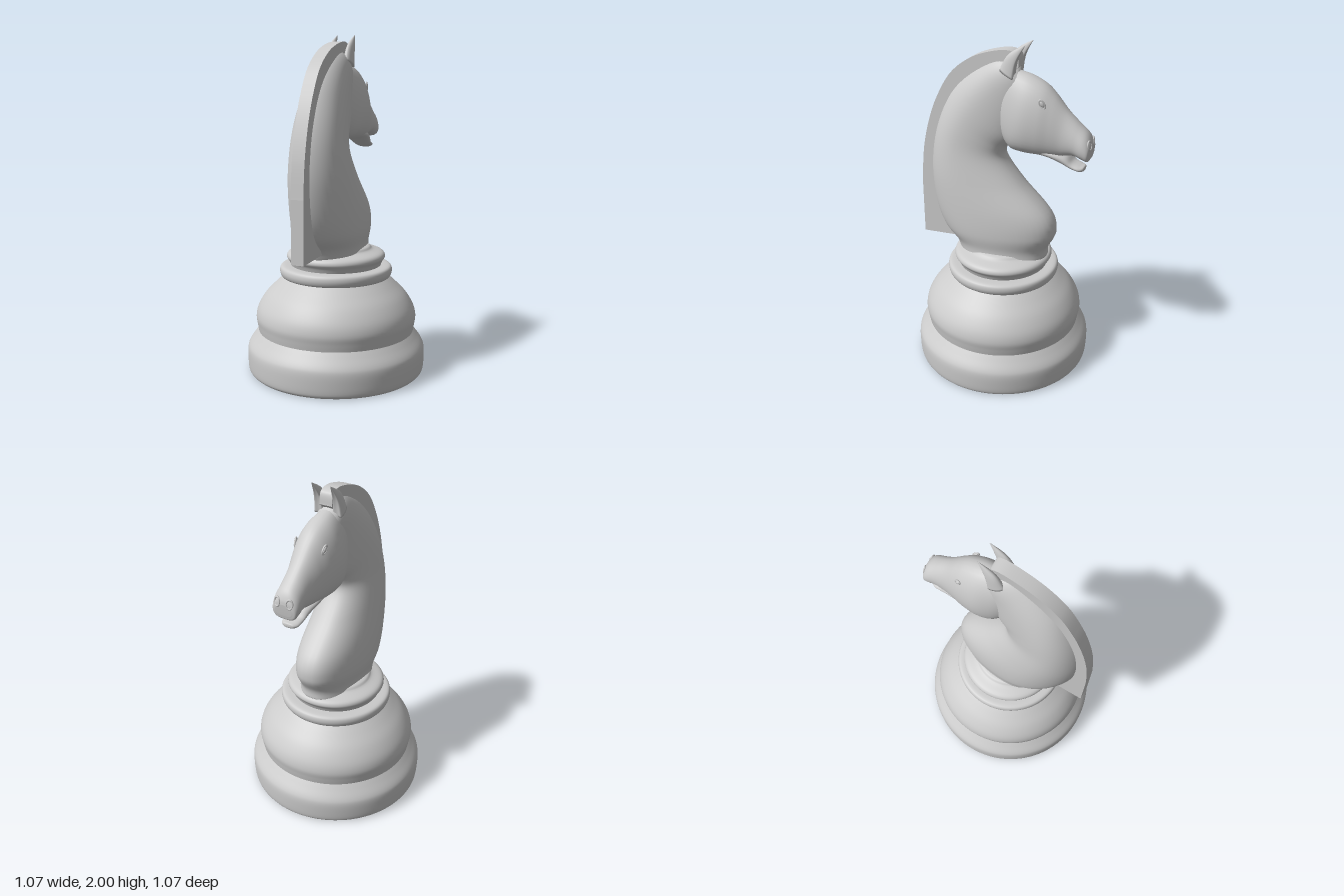
import * as THREE from 'three';

const material = new THREE.MeshStandardMaterial({ color: 0xcccccc, roughness: 0.6 });

function add(group, name, geometry) {
  const mesh = new THREE.Mesh(geometry, material);
  mesh.name = name;
  group.add(mesh);
  return mesh;
}

// Smooth loft through stations [zA, yA, zB, yB, halfWidth]; A and B are the two
// ends of each cross-section on the centre plane. eA / eB sharpen or blunt them.
function loft(stations, { eA = 1, eB = 1, shift = 0, xc = 0, dent = 0, rows = 48, cols = 40 } = {}) {
  const curveA = new THREE.CatmullRomCurve3(stations.map(s => new THREE.Vector3(s[4], s[1], s[0])), false, 'catmullrom', 0.5);
  const curveB = new THREE.CatmullRomCurve3(stations.map(s => new THREE.Vector3(0, s[3], s[2])), false, 'catmullrom', 0.5);
  const pos = [], index = [];
  for (let i = 0; i <= rows; i++) {
    const a = curveA.getPoint(i / rows), b = curveB.getPoint(i / rows);
    for (let j = 0; j < cols; j++) {
      const t = j / cols * Math.PI * 2, c = Math.cos(t), s = Math.sin(t);
      const x = Math.sign(s) * Math.pow(Math.abs(s), c > 0 ? eA : eB) * a.x;
      const u = c + shift * s * s + dent * Math.max(0, -c) ** 2;
      pos.push(xc + x, (a.y + b.y) / 2 + (a.y - b.y) / 2 * u, (a.z + b.z) / 2 + (a.z - b.z) / 2 * u);
    }
  }
  for (let i = 0; i < rows; i++) for (let j = 0; j < cols; j++) {
    const k = (j + 1) % cols, p = i * cols, q = p + cols;
    index.push(p + j, p + k, q + j, p + k, q + k, q + j);
  }
  // end caps
  for (const row of [0, rows]) {
    const a = curveA.getPoint(row / rows), b = curveB.getPoint(row / rows);
    const centre = pos.length / 3, p = row * cols;
    pos.push(xc, (a.y + b.y) / 2, (a.z + b.z) / 2);
    for (let j = 0; j < cols; j++) {
      const k = (j + 1) % cols;
      if (row) index.push(centre, p + j, p + k);
      else index.push(centre, p + k, p + j);
    }
  }
  const g = new THREE.BufferGeometry();
  g.setAttribute('position', new THREE.Float32BufferAttribute(pos, 3));
  g.setIndex(index);
  g.computeVertexNormals();
  return g;
}

// Turned piece: each section is smoothed on its own so the joints stay crisp
function turned(points) {
  const v = points.map(p => new THREE.Vector2(...p));
  const pts = v.length > 2 ? new THREE.SplineCurve(v).getPoints(v.length * 4) : v;
  return new THREE.LatheGeometry(pts, 96);
}

export function createModel() {
  const model = new THREE.Group();

  // Turned base
  const base = new THREE.Group();
  base.name = 'base';
  model.add(base);
  add(base, 'underside', turned([[0, 0], [0.515, 0]]));
  add(base, 'foot', turned([[0.515, 0], [0.53, 0.02], [0.535, 0.08], [0.534, 0.14], [0.522, 0.175], [0.49, 0.22], [0.468, 0.25]]));
  add(base, 'bell', turned([[0.468, 0.25], [0.475, 0.29], [0.481, 0.34], [0.465, 0.4], [0.42, 0.47], [0.36, 0.53], [0.31, 0.575]]));
  add(base, 'ring', turned([[0.3, 0.575], [0.325, 0.578], [0.337, 0.61], [0.325, 0.64], [0.27, 0.645]]));
  add(base, 'collar', turned([[0.27, 0.645], [0.28, 0.67], [0.295, 0.695], [0.28, 0.722], [0.22, 0.742], [0.18, 0.765], [0, 0.77]]));

  // Neck and chest: back edge, front edge, half-width
  add(model, 'neck', loft([
    [0.28, 0.72, -0.28, 0.72, 0.19],
    [0.31, 0.78, -0.285, 0.78, 0.188],
    [0.39, 0.86, -0.33, 0.88, 0.2],
    [0.44, 1.0, -0.30, 1.0, 0.196],
    [0.455, 1.2, -0.13, 1.17, 0.177],
    [0.43, 1.4, -0.02, 1.31, 0.155],
    [0.37, 1.58, -0.02, 1.385, 0.14],
    [0.28, 1.73, -0.07, 1.44, 0.122],
    [0.14, 1.85, -0.11, 1.52, 0.1],
    [0.0, 1.91, -0.14, 1.62, 0.08],
    [-0.1, 1.84, -0.16, 1.7, 0.05],
  ], { eA: 1.35, eB: 0.85, shift: 0.15, rows: 80, cols: 48 }));

  // Mane: a flat crest down the back of the neck
  const mane = new THREE.Shape();
  mane.moveTo(0.27, 0.757);
  mane.lineTo(0.52, 0.742);
  mane.lineTo(0.52, 1.1);
  mane.splineThru([[0.5, 1.31], [0.455, 1.5], [0.39, 1.66], [0.3, 1.8], [0.165, 1.9], [0, 1.952], [-0.09, 1.94], [-0.105, 1.87]]
    .map(p => new THREE.Vector2(...p)));
  mane.lineTo(-0.05, 1.82);
  mane.splineThru([[0.12, 1.74], [0.25, 1.5], [0.3, 1.2], [0.27, 0.757]].map(p => new THREE.Vector2(...p)));
  const maneGeo = new THREE.ExtrudeGeometry(mane, { depth: 0.076, bevelEnabled: false, curveSegments: 40 });
  maneGeo.rotateY(-Math.PI / 2).translate(0.038, 0, 0);
  add(model, 'mane', maneGeo);

  // Head: top edge, bottom edge, half-width
  const head = new THREE.Group();
  head.name = 'head';
  model.add(head);
  add(head, 'skull', loft([
    [0.02, 1.86, 0.02, 1.5, 0.07],
    [-0.08, 1.845, -0.055, 1.405, 0.112],
    [-0.17, 1.825, -0.13, 1.388, 0.132],
    [-0.25, 1.788, -0.22, 1.385, 0.124],
    [-0.31, 1.735, -0.30, 1.388, 0.104],
    [-0.38, 1.655, -0.36, 1.395, 0.087],
    [-0.45, 1.59, -0.43, 1.408, 0.08],
    [-0.5, 1.545, -0.48, 1.395, 0.08],
    [-0.523, 1.505, -0.513, 1.385, 0.072],
    [-0.529, 1.475, -0.522, 1.41, 0.05],
  ], { eA: 0.9, eB: 0.72, shift: -0.2, rows: 64 }));
  add(head, 'lowerJaw', loft([
    [-0.24, 1.45, -0.22, 1.387, 0.08],
    [-0.32, 1.43, -0.29, 1.38, 0.08],
    [-0.39, 1.405, -0.36, 1.353, 0.068],
    [-0.425, 1.368, -0.42, 1.328, 0.058],
    [-0.465, 1.352, -0.465, 1.316, 0.052],
    [-0.488, 1.346, -0.486, 1.318, 0.036],
    [-0.493, 1.338, -0.493, 1.325, 0.015],
  ], { eA: 0.7, eB: 0.8 }));

  for (const [side, s] of [['left', 1], ['right', -1]]) {
    // Hollow-fronted pointed ear
    add(head, side + 'Ear', loft([
      [0.0, 1.85, -0.125, 1.79, 0.03],
      [-0.04, 1.925, -0.122, 1.86, 0.024],
      [-0.085, 1.965, -0.127, 1.92, 0.016],
      [-0.148, 2.0, -0.15, 1.997, 0.001],
    ], { xc: s * 0.057, dent: 0.7, rows: 20, cols: 24 }));

    // Almond eye with a lid rim
    const eye = new THREE.Group();
    eye.name = side + 'Eye';
    eye.position.set(s * 0.09, 1.7, -0.262);
    eye.rotation.set(0, s * 1.85, s * 0.55, 'YXZ');
    add(eye, 'lid', new THREE.TorusGeometry(0.021, 0.005, 8, 28)).scale.set(0.65, 1.2, 1);
    add(eye, 'eyeball', new THREE.SphereGeometry(0.017, 20, 14)).scale.set(0.65, 1.2, 0.5);
    head.add(eye);

    // Nostril rim
    const nostril = add(head, side + 'Nostril', new THREE.TorusGeometry(0.021, 0.005, 8, 28));
    nostril.position.set(s * 0.038, 1.485, -0.522);
    nostril.scale.set(0.85, 1.2, 1);
    nostril.rotation.set(0.15, s * -0.25, 0);
  }
  return model;
}
